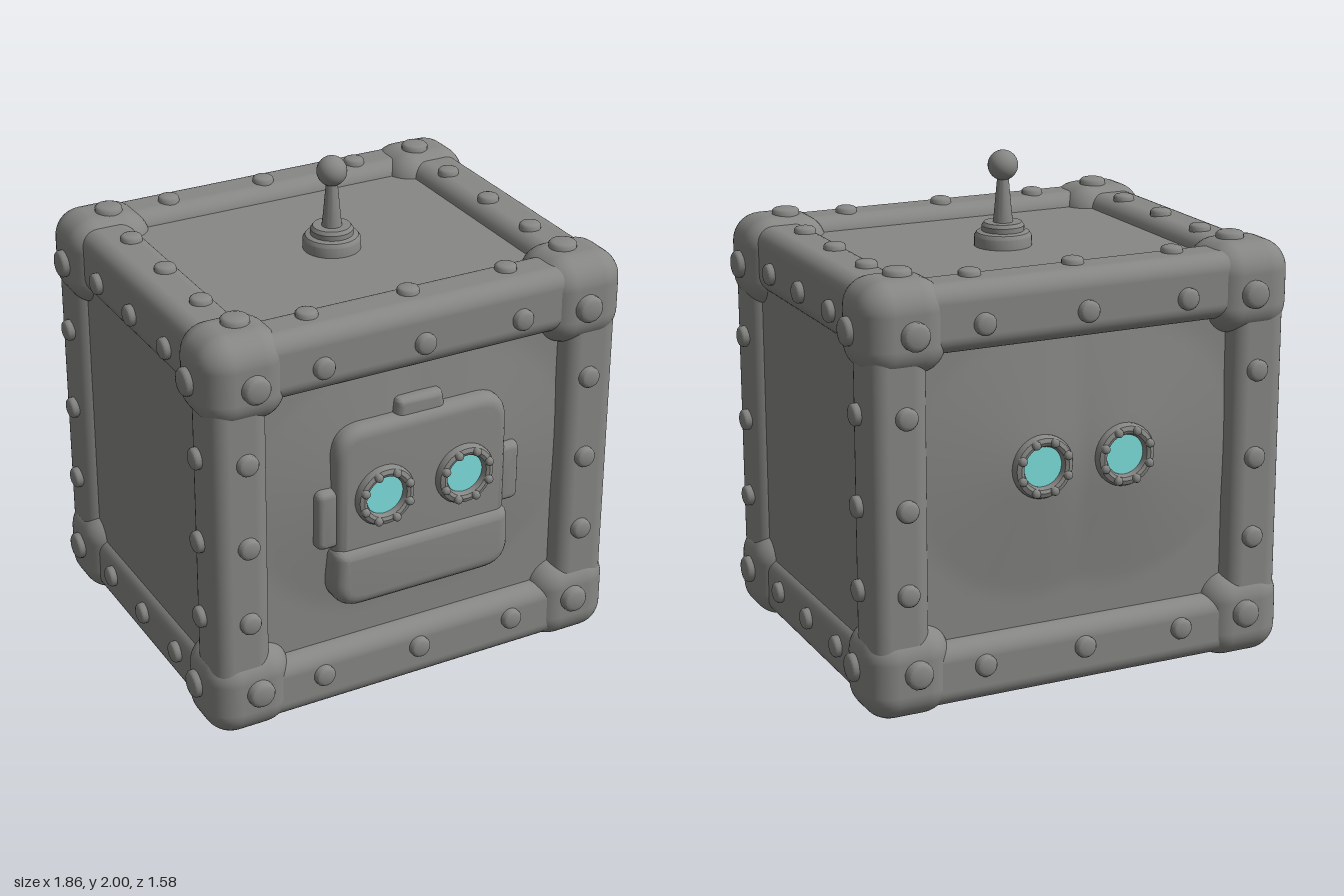
import * as THREE from 'three';
import { toCreasedNormals } from 'three/addons/utils/BufferGeometryUtils.js';
import { RoundedBoxGeometry } from 'three/addons/geometries/RoundedBoxGeometry.js';

const metal = new THREE.MeshStandardMaterial({ color: 0x878785 });
metal.name = 'grey metal';
const glow = new THREE.MeshStandardMaterial({ color: 0x7ee0de });
glow.name = 'cyan lens';

function add(parent, name, geometry, material = metal) {
  const mesh = new THREE.Mesh(geometry, material);
  mesh.name = name;
  parent.add(mesh);
  return mesh;
}

// Rounded block given by its lower and upper limits
function block(parent, name, x0, x1, y0, y1, z0, z1, radius) {
  const mesh = add(parent, name, new RoundedBoxGeometry(x1 - x0, y1 - y0, z1 - z0, 5, radius));
  mesh.position.set((x0 + x1) / 2, (y0 + y1) / 2, (z0 + z1) / 2);
  return mesh;
}

function lathe(points, sides, crease = 0.6) {
  const profile = points.map(([r, y]) => new THREE.Vector2(r, y));
  return toCreasedNormals(new THREE.LatheGeometry(profile, sides), crease);
}

// Rivet: low domed button, base sunk slightly into its surface
const rivetGeometry = lathe([[1, -0.6], [1, 0.55], [0.85, 0.85], [0.6, 1], [0, 1]], 18);
const up = new THREE.Vector3(0, 1, 0);
function rivet(parent, position, normal, radius, height) {
  const mesh = add(parent, 'rivet', rivetGeometry);
  mesh.position.set(...position);
  mesh.quaternion.setFromUnitVectors(up, new THREE.Vector3(...normal));
  mesh.scale.set(radius, height, radius);
}

// Rounded outline with separate top and bottom half widths and radii
function outline(topHalf, bottomHalf, y0, y1, rTop, rBottom) {
  const s = new THREE.Shape();
  s.moveTo(-bottomHalf + rBottom, y0);
  s.lineTo(bottomHalf - rBottom, y0);
  s.quadraticCurveTo(bottomHalf, y0, bottomHalf, y0 + rBottom);
  s.lineTo(topHalf, y1 - rTop);
  s.quadraticCurveTo(topHalf, y1, topHalf - rTop, y1);
  s.lineTo(-topHalf + rTop, y1);
  s.quadraticCurveTo(-topHalf, y1, -topHalf, y1 - rTop);
  s.lineTo(-bottomHalf, y0 + rBottom);
  s.quadraticCurveTo(-bottomHalf, y0, -bottomHalf + rBottom, y0);
  return s;
}

// Plate standing on the front panel with a softly rounded rim
function plate(parent, name, shape, z0, z1, bevel) {
  const geometry = new THREE.ExtrudeGeometry(shape, {
    depth: z1 - z0 - bevel, bevelEnabled: true, bevelThickness: bevel,
    bevelSize: bevel, bevelOffset: -bevel, bevelSegments: 5, curveSegments: 10,
  });
  const mesh = add(parent, name, toCreasedNormals(geometry, 0.6));
  mesh.position.z = z0;
  return mesh;
}

// Eye: ring with small studs around a cyan lens, facing +z
function eye(parent, x, y, z) {
  const group = new THREE.Group();
  group.name = 'eye';
  group.position.set(x, y, z);
  parent.add(group);
  const ring = add(group, 'eyeRing', lathe(
    [[0.125, -0.07], [0.125, 0], [0.117, 0.014], [0.1, 0.02], [0.087, 0.014], [0.08, 0], [0.08, -0.03]], 36));
  ring.rotation.x = Math.PI / 2;
  const lens = add(group, 'eyeLens', new THREE.CircleGeometry(0.082, 36), glow);
  lens.position.z = -0.008;
  for (let i = 0; i < 8; i++) {
    const a = (i + 0.5) * Math.PI / 4;
    rivet(group, [0.103 * Math.cos(a), 0.103 * Math.sin(a), 0.012], [0, 0, 1], 0.017, 0.022);
  }
}

// Panel drawn outward in a shallow tent around the eyes
function eyePanel(parent, name) {
  const geometry = new THREE.PlaneGeometry(1.4, 1.24, 40, 36);
  const p = geometry.attributes.position;
  for (let i = 0; i < p.count; i++) {
    const d = Math.hypot(Math.abs(p.getX(i)) - 0.175, p.getY(i) - 0.085);
    p.setZ(i, 0.045 * Math.max(0, Math.min(1, 1.25 - d / 0.42)));
  }
  geometry.computeVertexNormals();
  const mesh = add(parent, name, geometry);
  mesh.position.set(0, 0.845, 0.66);
  return mesh;
}

export function createModel() {
  const model = new THREE.Group();
  model.name = 'robotCrate';

  // Body core, recessed behind the frame
  const core = add(model, 'bodyPanels', new THREE.BoxGeometry(1.66, 1.55, 1.31));
  core.position.y = 0.845;

  // Frame beams and corner caps
  const frame = new THREE.Group();
  frame.name = 'frame';
  model.add(frame);
  const levels = [[0.025, 0.28], [1.41, 1.675]];
  for (const [y0, y1] of levels) {
    block(frame, 'frontBeam', -0.75, 0.75, y0, y1, 0.51, 0.73, 0.07);
    block(frame, 'backBeam', -0.75, 0.75, y0, y1, -0.73, -0.51, 0.07);
    block(frame, 'leftBeam', 0.63, 0.86, y0, y1, -0.65, 0.65, 0.07);
    block(frame, 'rightBeam', -0.86, -0.63, y0, y1, -0.65, 0.65, 0.07);
  }
  for (const sx of [-1, 1]) for (const sz of [-1, 1]) {
    const post = block(frame, 'cornerPost', -0.12, 0.12, 0.15, 1.55, -0.11, 0.11, 0.07);
    post.position.x = sx * 0.757;
    post.position.z = sz * 0.62;
    for (const y of [0.18, 1.52]) {
      const cap = block(frame, 'cornerCap', -0.175, 0.175, 0, 0.36, -0.16, 0.16, 0.115);
      cap.position.set(sx * 0.723, y, sz * 0.588);
    }
  }

  // Rivets on the frame
  const rivets = new THREE.Group();
  rivets.name = 'rivets';
  model.add(rivets);
  const r = 0.043, h = 0.03;
  for (const s of [-1, 1]) {
    for (const x of [-0.425, 0, 0.425]) {
      for (const y of [0.18, 1.52]) rivet(rivets, [x, y, s * 0.73], [0, 0, s], r, h);
      rivet(rivets, [x, 1.675, s * 0.6], [0, 1, 0], r, 0.025);
      rivet(rivets, [x * 0.87, 0.025, s * 0.6], [0, -1, 0], r, 0.02);
    }
    for (const z of [-0.315, 0, 0.315]) {
      for (const y of [0.18, 1.52]) rivet(rivets, [s * 0.86, y, z], [s, 0, 0], r, h);
      rivet(rivets, [s * 0.715, 1.675, z], [0, 1, 0], r, 0.025);
    }
    for (const z of [-0.31, -0.088, 0.088, 0.31]) {
      rivet(rivets, [s * 0.72, 0.025, z], [0, -1, 0], r, 0.02);
    }
    for (const t of [-1, 1]) {
      for (const y of [0.515, 0.845, 1.2]) {
        rivet(rivets, [s * 0.74, y, t * 0.73], [0, 0, t], r, h);
        rivet(rivets, [s * 0.877, y, t * 0.6], [s, 0, 0], r, h);
      }
      for (const y of [0.2, 1.51]) {
        rivet(rivets, [s * 0.71, y, t * 0.748], [0, 0, t], 0.055, 0.037);
        rivet(rivets, [s * 0.898, y, t * 0.575], [s, 0, 0], 0.055, 0.03);
      }
      rivet(rivets, [s * 0.7, 1.7, t * 0.57], [0, 1, 0], 0.055, 0.026);
    }
  }

  // Robot face on the front
  const face = new THREE.Group();
  face.name = 'face';
  model.add(face);
  eyePanel(face, 'frontPanel');
  plate(face, 'head', outline(0.375, 0.375, 0.6, 1.235, 0.13, 0.03), 0.65, 0.745, 0.045);
  plate(face, 'jaw', outline(0.385, 0.39, 0.465, 0.73, 0.05, 0.12), 0.65, 0.77, 0.055);
  plate(face, 'headTab', outline(0.1, 0.12, 1.15, 1.295, 0.025, 0.02), 0.65, 0.72, 0.03);
  for (const s of [-1, 1]) {
    const ear = plate(face, 'ear', outline(0.07, 0.07, 0.73, 0.985, 0.035, 0.035), 0.65, 0.725, 0.03);
    ear.position.x = s * 0.375;
    eye(face, s * 0.175, 0.93, 0.757);
  }

  // Plain pair of eyes on the back
  const back = new THREE.Group();
  back.name = 'backFace';
  back.rotation.y = Math.PI;
  model.add(back);
  eyePanel(back, 'backPanel');
  for (const s of [-1, 1]) eye(back, s * 0.175, 0.93, 0.715);

  // Antenna on the top panel
  const antenna = new THREE.Group();
  antenna.name = 'antenna';
  model.add(antenna);
  add(antenna, 'antennaBase', lathe(
    [[0.115, 1.6], [0.115, 1.66], [0.105, 1.675], [0.085, 1.68], [0.085, 1.7], [0.075, 1.714], [0, 1.714]], 32));
  add(antenna, 'antennaRod', lathe([[0.042, 1.7], [0.036, 1.75], [0.022, 1.9]], 20));
  add(antenna, 'antennaBall', new THREE.SphereGeometry(0.06, 28, 20)).position.y = 1.94;

  return model;
}
